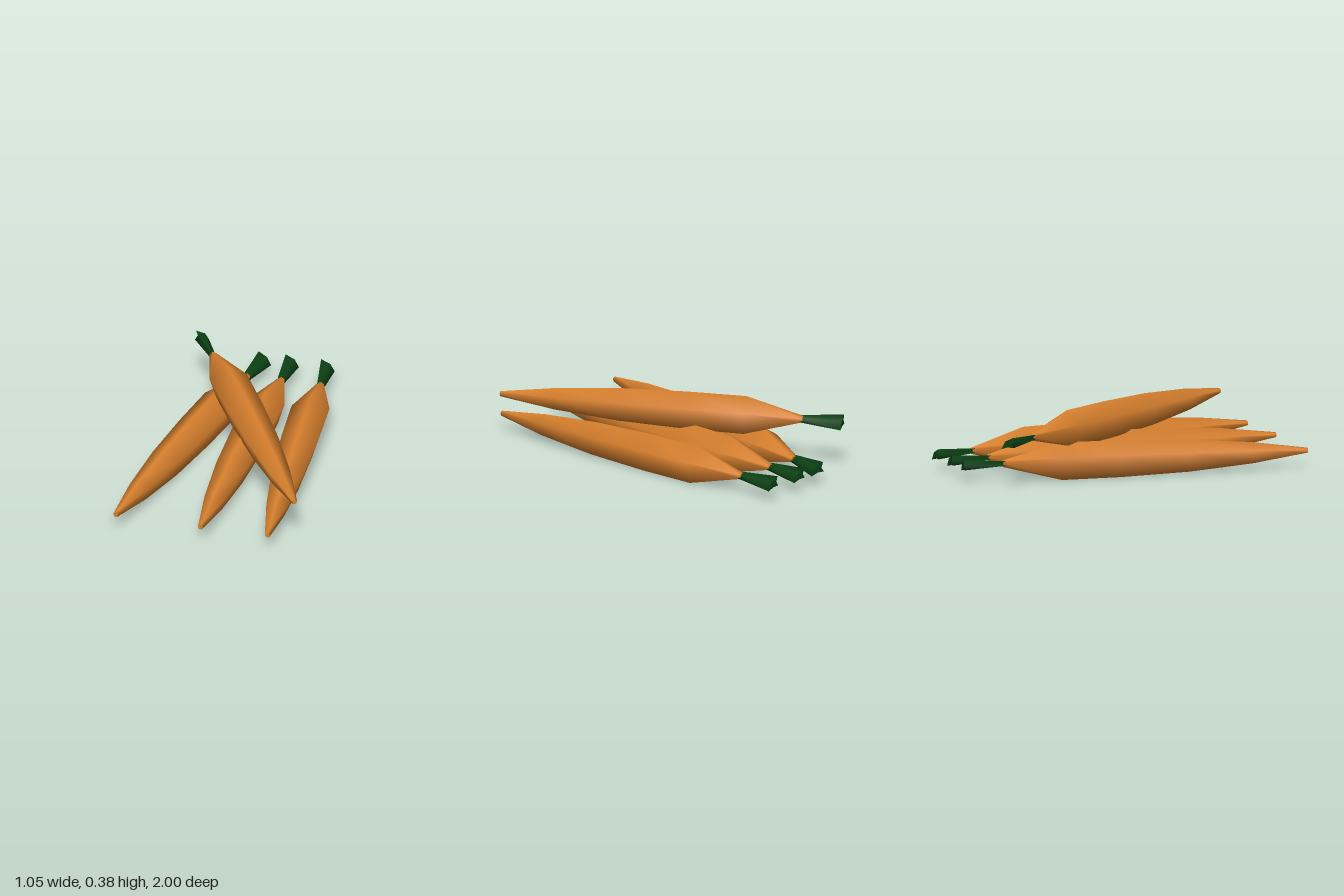
import * as THREE from 'three';

const orange = new THREE.MeshStandardMaterial({ color: 0xd9812e });
orange.name = 'carrotOrange';
const green = new THREE.MeshStandardMaterial({ color: 0x0c4215 });
green.name = 'stemGreen';

// Lofts a counter-clockwise section along z; rings are [z, scale], both ends capped.
function loft(section, rings) {
  const n = section.length;
  const pos = [];
  const idx = [];
  for (const [z, s] of rings) for (const [x, y] of section) pos.push(x * s, y * s, z);
  for (let r = 0; r < rings.length - 1; r++) {
    for (let i = 0; i < n; i++) {
      const a = r * n + i;
      const b = r * n + (i + 1) % n;
      idx.push(a, b, b + n, a, b + n, a + n);
    }
  }
  // end caps with their own vertices, so their edges stay sharp
  for (const r of [0, rings.length - 1]) {
    const [z, s] = rings[r];
    const base = pos.length / 3;
    for (const [x, y] of section) pos.push(x * s, y * s, z);
    pos.push(0, 0, z);
    for (let i = 0; i < n; i++) {
      const a = base + i;
      const b = base + (i + 1) % n;
      if (r === 0) idx.push(base + n, b, a);
      else idx.push(base + n, a, b);
    }
  }
  const g = new THREE.BufferGeometry();
  g.setAttribute('position', new THREE.Float32BufferAttribute(pos, 3));
  g.setIndex(idx);
  g.computeVertexNormals();
  return g;
}

export function createModel() {
  const model = new THREE.Group();
  model.name = 'carrotPile';

  // Five-sided root, widest near the crown
  const pentagon = [[0, 0.95], [-0.96, 0.32], [-0.6, -0.85], [0.6, -0.85], [0.96, 0.32]];
  const rootGeo = loft(pentagon, [
    [-0.885, 0.02], [-0.555, 0.113], [-0.215, 0.111],
    [0.185, 0.097], [0.56, 0.064], [0.885, 0.015],
  ]);

  // Flared stem with three ridges
  const ridges = [[-0.85, 0.85], [-0.6, 0.1], [-1, -0.5], [0, -0.5], [1, -0.85], [0.4, 0.25]];
  const stemGeo = loft(ridges, [[-1.115, 0.042], [-0.87, 0.019]]);

  // name, centre, and heading of the tip in x and z
  const carrots = [
    ['rightCarrot', [-0.352, 0.1, 0.11], [-0.305, 1.75]],
    ['middleCarrot', [-0.004, 0.1, 0.115], [0, 1.77]],
    ['leftCarrot', [0.305, 0.1, 0.11], [0.16, 1.76]],
    ['topCarrot', [0.07, 0.272, 0.11], [0.88, 1.52]],
  ];
  for (const [name, centre, [dx, dz]] of carrots) {
    const carrot = new THREE.Group();
    carrot.name = name;
    const root = new THREE.Mesh(rootGeo, orange);
    root.name = 'root';
    const stem = new THREE.Mesh(stemGeo, green);
    stem.name = 'stem';
    carrot.add(root, stem);
    carrot.position.set(...centre);
    carrot.rotation.y = Math.atan2(dx, dz);
    model.add(carrot);
  }
  return model;
}
